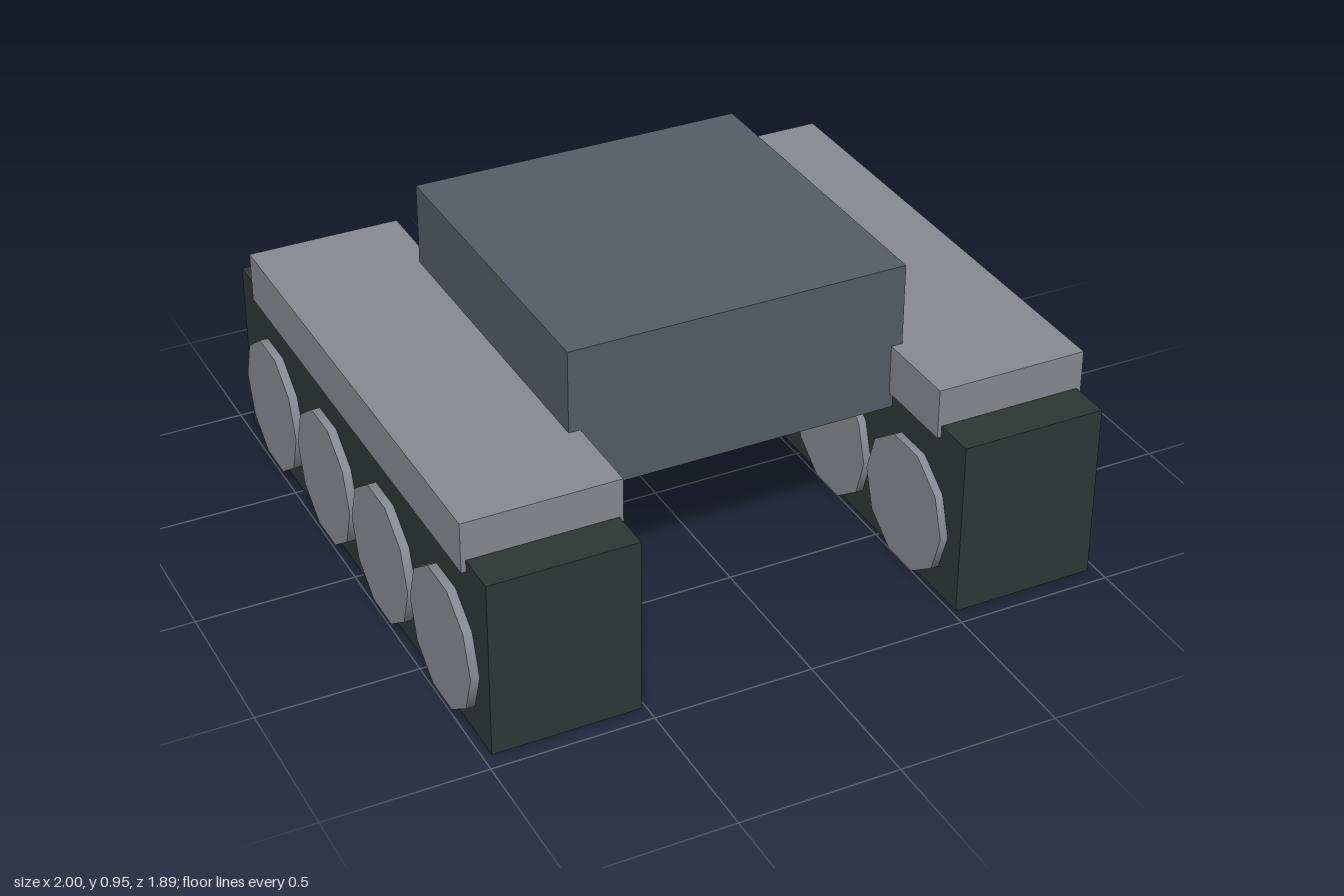
import * as THREE from 'three';

export function createModel() {
  const model = new THREE.Group();
  model.name = 'trackedVehicle';

  const material = (name, color) => {
    const m = new THREE.MeshStandardMaterial({ color });
    m.name = name;
    return m;
  };
  const hullGrey = material('slate grey', 0x555c66);
  const lightGrey = material('light grey', 0x868a92);
  const trackGreen = material('dark green grey', 0x2e3735);

  // Box given by its centre x, width, bottom, top and length
  const addBox = (parent, name, mat, x, width, y0, y1, length) => {
    const mesh = new THREE.Mesh(new THREE.BoxGeometry(width, y1 - y0, length), mat);
    mesh.position.set(x, (y0 + y1) / 2, 0);
    mesh.name = name;
    parent.add(mesh);
  };

  // Central hull
  addBox(model, 'hull', hullGrey, 0, 1.075, 0.48, 0.953, 1.075);

  // Ten-sided wheels run right through each track and stand proud on both sides
  const wheelGeometry = new THREE.CylinderGeometry(0.215, 0.215, 0.511, 10).rotateZ(Math.PI / 2);

  for (const [side, s] of [['left', 1], ['right', -1]]) {
    const unit = new THREE.Group();
    unit.name = side + 'TrackUnit';
    addBox(unit, side + 'Track', trackGreen, s * 0.743, 0.459, 0, 0.568, 1.89);
    addBox(unit, side + 'Fender', lightGrey, s * 0.744, 0.486, 0.53, 0.69, 1.622);
    for (let i = 0; i < 4; i++) {
      const wheel = new THREE.Mesh(wheelGeometry, lightGrey);
      wheel.position.set(s * 0.744, 0.219, 0.663 - i * 0.4455);
      wheel.name = side + 'Wheel' + (i + 1);
      unit.add(wheel);
    }
    model.add(unit);
  }
  return model;
}
